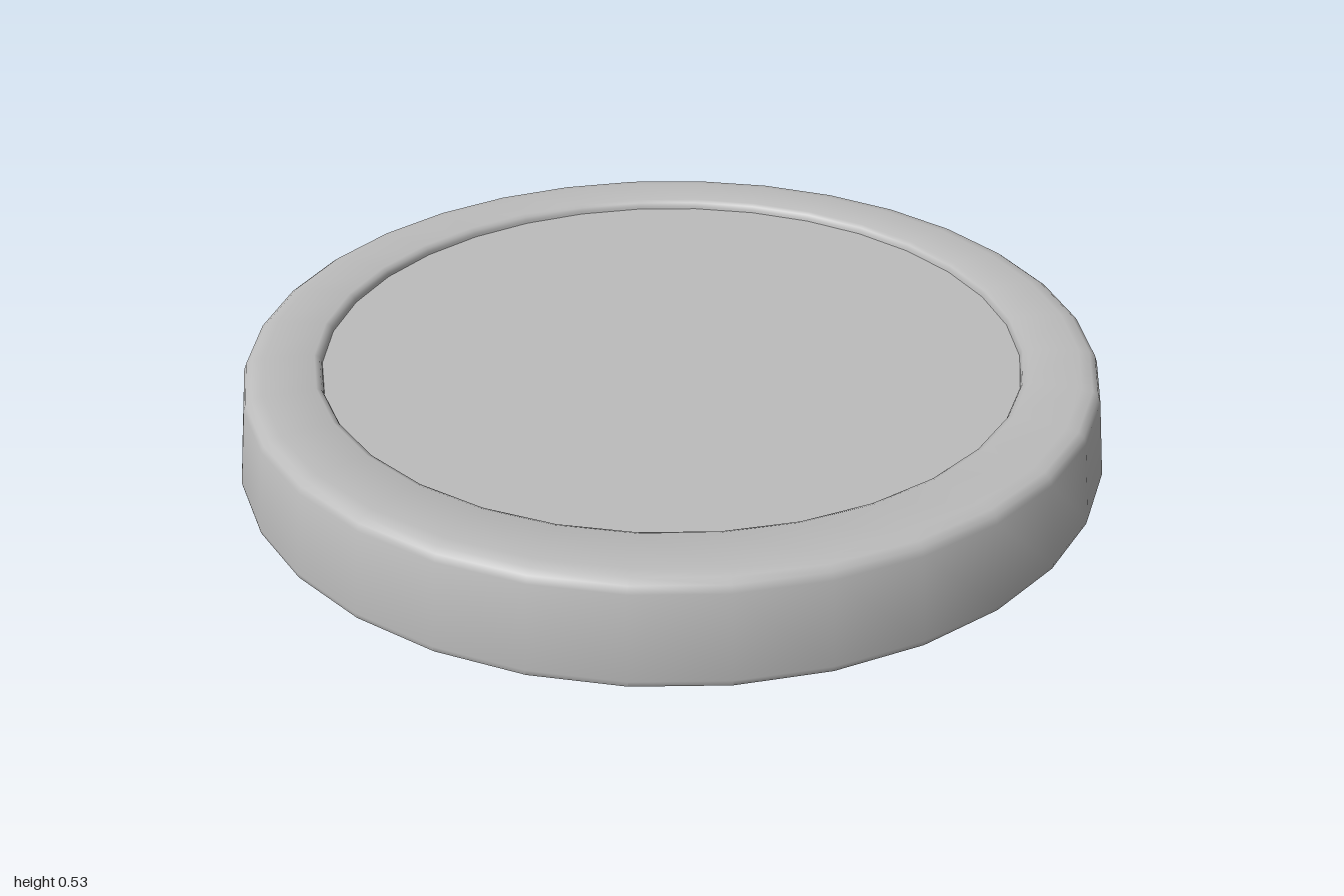
import * as THREE from 'three';
import { toCreasedNormals } from 'three/addons/utils/BufferGeometryUtils.js';

const SIDES = 32;
const grey = new THREE.MeshStandardMaterial({ color: 0xbcbcbc });
grey.name = 'grey';

// Turned part; the profile runs from the underside, outwards and up to the top
function turned(name, profile, reshape) {
  const geo = new THREE.LatheGeometry(profile.map(([r, y]) => new THREE.Vector2(r, y)), SIDES);
  const pos = geo.attributes.position;
  const v = new THREE.Vector3();
  for (let i = 0; i < pos.count; i++) {
    v.fromBufferAttribute(pos, i);
    if (reshape) reshape(v);
    pos.setXYZ(i, v.x * 0.98, v.y, v.z);
  }
  const mesh = new THREE.Mesh(toCreasedNormals(geo, 0.75), grey);
  mesh.name = name;
  return mesh;
}

// Pulls the small lower rings into an octagon with flat sides facing the axes
function octagon(v) {
  const r = Math.hypot(v.x, v.z);
  if (r < 0.001 || r > 0.5) return;
  const step = Math.PI / 4;
  const a = Math.atan2(v.z, v.x);
  const k = 1 / Math.cos(a - Math.round(a / step) * step);
  v.x = v.x * k - 0.02;
  v.z *= k;
}

export function createModel() {
  const model = new THREE.Group();
  model.name = 'disc';

  // Thick rim with softened edges around a slightly sunken top
  model.add(turned('rim', [
    [0.86, 0.295], [0.94, 0.297], [0.985, 0.308], [0.998, 0.318], [1.0, 0.33],
    [0.974, 0.505], [0.968, 0.52], [0.955, 0.529], [0.93, 0.532],
    [0.815, 0.532], [0.804, 0.527], [0.8, 0.518], [0.798, 0.505],
  ]));
  model.add(turned('topPanel', [[0.8, 0.512], [0, 0.512]]));

  // Collar and shallow cone narrowing to an octagonal foot with a sunken middle
  model.add(turned('underside', [
    [0, 0.105], [0.29, 0.105], [0.3, 0.088], [0.37, 0.086], [0.383, 0.092],
    [0.87, 0.254], [0.89, 0.264], [0.896, 0.28], [0.896, 0.3],
  ], octagon));

  // Four-sided point beneath
  const point = new THREE.ConeGeometry(0.115 * Math.SQRT2, 0.11, 4).toNonIndexed();
  point.computeVertexNormals();
  point.rotateY(Math.PI / 4).rotateX(Math.PI);
  const spike = new THREE.Mesh(point, grey);
  spike.name = 'spike';
  spike.position.set(-0.025, 0.055, 0.005);
  model.add(spike);

  return model;
}
